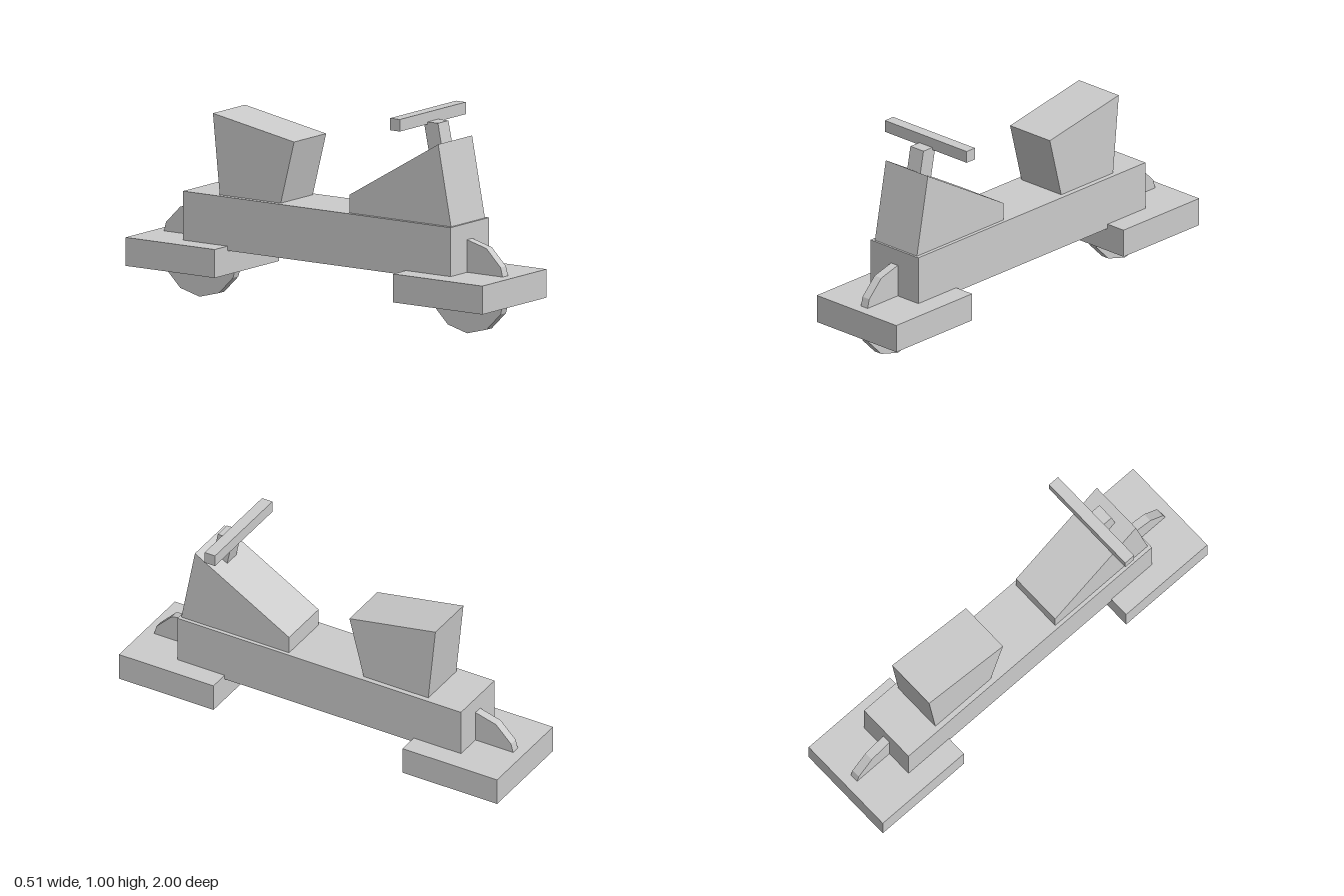
import * as THREE from 'three';

const material = new THREE.MeshStandardMaterial({ color: 0xcccccc, flatShading: true });

export function createModel() {
  const group = new THREE.Group();

  function add(name, geometry, x = 0, y = 0, z = 0) {
    const mesh = new THREE.Mesh(geometry, material);
    mesh.name = name;
    mesh.position.set(x, y, z);
    group.add(mesh);
  }

  // Box from its y and z ranges, centred on x
  function block(name, width, y0, y1, z0, z1) {
    add(name, new THREE.BoxGeometry(width, y1 - y0, z1 - z0), 0, (y0 + y1) / 2, (z0 + z1) / 2);
  }

  // Side profile of [z, y] points, extruded across the width
  function profile(name, width, points) {
    const shape = new THREE.Shape(points.map(([z, y]) => new THREE.Vector2(z, y)));
    const geometry = new THREE.ExtrudeGeometry(shape, { depth: width, bevelEnabled: false });
    geometry.translate(0, 0, -width / 2).rotateY(-Math.PI / 2);
    add(name, geometry);
  }

  // Main beam
  block('body', 0.3, 0.262, 0.51, -0.75, 0.75);

  // Fender plates and thin twelve-sided wheels at both ends
  for (const [end, side] of [['front', 1], ['rear', -1]]) {
    block(end + 'Plate', 0.5, 0.151, 0.283, side * 0.75 - 0.25, side * 0.75 + 0.25);
    const wheel = new THREE.CylinderGeometry(0.217, 0.217, 0.042, 12).rotateZ(Math.PI / 2);
    add(end + 'Wheel', wheel, 0, 0.217, side * 0.75);
  }

  // Sloped front cowl
  profile('cowl', 0.264, [[0.74, 0.51], [0.668, 0.884], [0.17, 0.594], [0.17, 0.51]]);

  // Seat flaring towards the top
  profile('seat', 0.25, [[-0.22, 0.51], [-0.145, 0.802], [-0.6, 0.884], [-0.562, 0.51]]);

  // Leaning stem and handlebar
  profile('steeringStem', 0.082, [[0.643, 0.75], [0.601, 0.96], [0.522, 0.96], [0.565, 0.75]]);
  block('handlebar', 0.514, 0.949, 1.005, 0.488, 0.543);

  return group;
}
